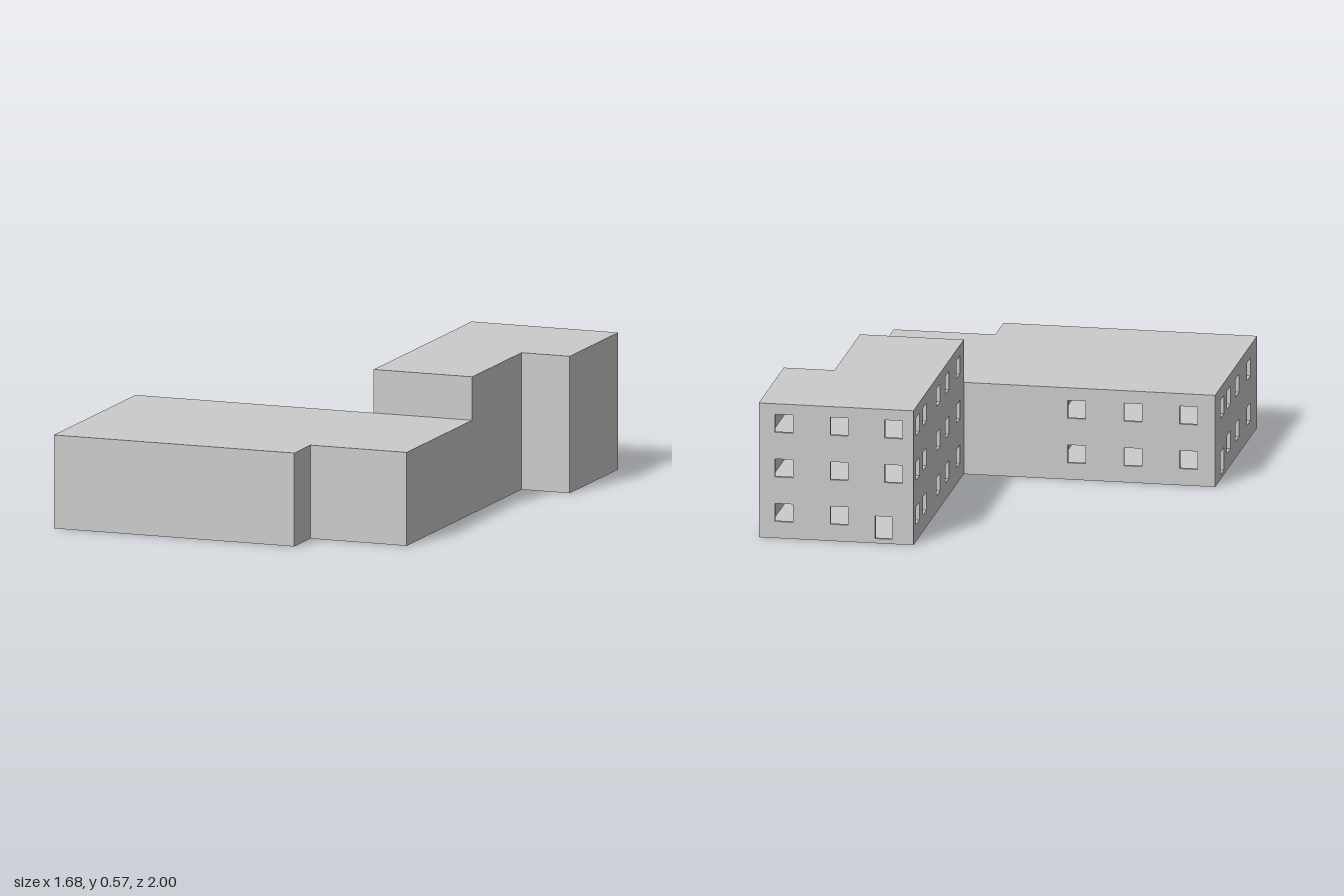
import * as THREE from 'three';

const STOREY = 0.188, WALL = 0.015, SLAB = 0.01;
const material = new THREE.MeshStandardMaterial({ color: 0xcccccc, flatShading: true });

// Footprints as [x, z] corners, with the interior on the +z side of the first edge
const tallPlan = [[0.2, -1], [0.84, -1], [0.84, -0.46], [0.63, -0.46], [0.63, 0.09], [0.2, 0.09]];
const lowPlan = [[-0.84, 0.09], [0.63, 0.09], [0.63, 0.82], [0.21, 0.82], [0.21, 1], [-0.84, 1]];

// Rectangle traced clockwise, for openings
function opening(s, y, w, h) {
  return new THREE.Path([
    [s - w / 2, y - h / 2], [s - w / 2, y + h / 2], [s + w / 2, y + h / 2], [s + w / 2, y - h / 2],
  ].map((p) => new THREE.Vector2(...p)));
}

// Rows of windows: one list of positions along the wall for each storey
function windows(rows) {
  return rows.flatMap((row, i) => row.map((s) => opening(s, 0.108 + i * STOREY, 0.074, 0.076)));
}

const door = (s) => opening(s, 0.067, 0.07, 0.095);

function addWall(group, name, [x0, z0], [x1, z1], height, holes = []) {
  const dx = x1 - x0, dz = z1 - z0, length = Math.hypot(dx, dz);
  const shape = new THREE.Shape([[0, SLAB], [length, SLAB], [length, height - SLAB], [0, height - SLAB]]
    .map((p) => new THREE.Vector2(...p)));
  shape.holes.push(...holes);
  const mesh = new THREE.Mesh(new THREE.ExtrudeGeometry(shape, { depth: WALL, bevelEnabled: false }), material);
  mesh.position.set(x0, 0, z0);
  mesh.rotation.y = Math.atan2(-dz, dx);
  mesh.name = name;
  group.add(mesh);
}

function addSlab(group, name, plan, top) {
  const shape = new THREE.Shape(plan.map((p) => new THREE.Vector2(...p)));
  const geometry = new THREE.ExtrudeGeometry(shape, { depth: SLAB, bevelEnabled: false });
  geometry.rotateX(Math.PI / 2);
  const mesh = new THREE.Mesh(geometry, material);
  mesh.position.y = top;
  mesh.name = name;
  group.add(mesh);
}

// Move every edge of a plan inward by d
function inset(plan, d) {
  const n = plan.length;
  const inward = (i) => {
    const [a, b] = [plan[i % n], plan[(i + 1) % n]];
    return [-Math.sign(b[1] - a[1]), Math.sign(b[0] - a[0])];
  };
  return plan.map(([x, z], i) => {
    const p = inward(i + n - 1), q = inward(i);
    return [x + d * (p[0] + q[0]), z + d * (p[1] + q[1])];
  });
}

function createWing(name, plan, height, storeys, openings) {
  const wing = new THREE.Group();
  wing.name = name;
  plan.forEach((p, i) => addWall(wing, 'wall' + (i + 1), p, plan[(i + 1) % plan.length], height, openings[i]));
  addSlab(wing, 'groundSlab', plan, SLAB);
  for (let i = 1; i < storeys; i++) addSlab(wing, 'floor' + (i + 1), inset(plan, WALL / 2), i * STOREY + SLAB);
  addSlab(wing, 'roof', plan, height);
  return wing;
}

export function createModel() {
  const model = new THREE.Group();
  model.name = 'building';

  // Three-storey wing: windows in its back and right walls, back door at ground level
  const backRow = [0.082, 0.307, 0.536];
  const sideRow = [-0.906, -0.753, -0.459, -0.271, -0.035].map((z) => 0.09 - z);
  model.add(createWing('tallWing', tallPlan, 0.567, 3, {
    0: [...windows([backRow.slice(1), backRow, backRow]), door(0.123)],
    5: windows([sideRow, sideRow, sideRow]),
  }));

  // Two-storey wing
  const lowBackRow = [0.11, 0.34, 0.573];
  const lowSideRow = [0.82, 0.57, 0.385, 0.243].map((z) => 1 - z);
  const lowWing = createWing('lowWing', lowPlan, 0.387, 2, {
    0: windows([lowBackRow, lowBackRow]),
    5: [...windows([lowSideRow.slice(0, 3), lowSideRow]), door(0.757)],
  });
  // Inner partition
  addWall(lowWing, 'partition', [-0.14, 0.1], [-0.14, 0.99], 0.387);
  model.add(lowWing);

  return model;
}
